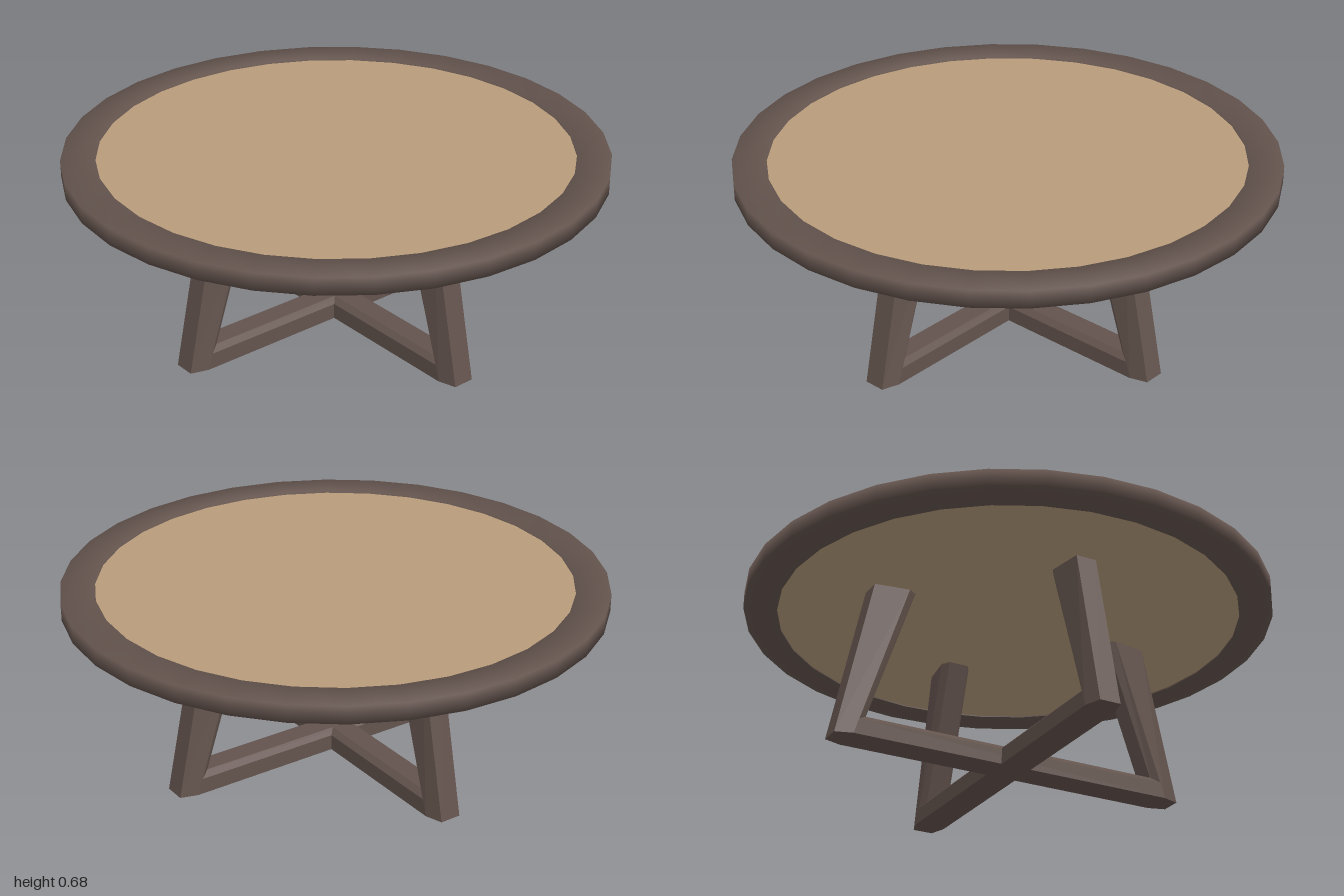
import * as THREE from 'three';

const darkWood = new THREE.MeshStandardMaterial({ color: 0x63534d });
darkWood.name = 'dark wood';
const lightWood = new THREE.MeshStandardMaterial({ color: 0xb79c7a });
lightWood.name = 'light wood';

const SIDES = 32;
const UNDERSIDE = 0.61;
const TOP = 0.675;
const RIM_INNER = 0.875;

// Flat-faced solid between two matching rings, counter-clockwise seen from the end ring
function loft(start, end) {
  const tris = [];
  const n = start.length;
  for (let i = 0; i < n; i++) {
    const j = (i + 1) % n;
    tris.push(start[i], start[j], end[j], start[i], end[j], end[i]);
  }
  for (let i = 1; i < n - 1; i++) {
    tris.push(end[0], end[i], end[i + 1], start[0], start[i + 1], start[i]);
  }
  const geometry = new THREE.BufferGeometry().setFromPoints(tris);
  geometry.computeVertexNormals();
  return geometry;
}

function part(name, geometry, material, parent) {
  const mesh = new THREE.Mesh(geometry, material);
  mesh.name = name;
  parent.add(mesh);
  return mesh;
}

// Six-sided leg section: narrow outer face, widest ridge, narrow inner face
function legRing(y, outer, ridge, inner) {
  return [
    [-0.04, outer], [0.04, outer], [0.06, ridge],
    [0.04, inner], [-0.04, inner], [-0.06, ridge],
  ].map(([x, z]) => new THREE.Vector3(x, y, z));
}

// Floor bar section with chamfered top edges; ends follow the lean of the leg
function barRing(side) {
  return [
    [-0.06, 0, 0.645], [0.06, 0, 0.645], [0.06, 0.06, 0.626],
    [0.04, 0.08, 0.6], [-0.04, 0.08, 0.6], [-0.06, 0.06, 0.626],
  ].map(([x, y, z]) => new THREE.Vector3(x, y, side * z));
}

export function createModel() {
  const model = new THREE.Group();
  model.name = 'roundTable';

  // Table top: softly shaded rim around a slightly recessed panel
  const top = new THREE.Group();
  top.name = 'tableTop';
  top.rotation.y = 0.021;
  model.add(top);

  const rimProfile = [
    [RIM_INNER, UNDERSIDE], [1, UNDERSIDE], [1, TOP],
    [RIM_INNER, TOP], [RIM_INNER, UNDERSIDE],
  ].map(([r, y]) => new THREE.Vector2(r, y));
  part('rim', new THREE.LatheGeometry(rimProfile, SIDES), darkWood, top);

  const panelBottom = UNDERSIDE + 0.005;
  const panelTop = TOP - 0.01;
  const panel = part('panel',
    new THREE.CylinderGeometry(RIM_INNER, RIM_INNER, panelTop - panelBottom, SIDES), lightWood, top);
  panel.position.y = (panelTop + panelBottom) / 2;

  // Base: four leaning legs joined by two crossing floor bars
  const base = new THREE.Group();
  base.name = 'base';
  model.add(base);

  const legGeometry = loft(
    legRing(0, 0.71, 0.645, 0.62),
    legRing(panelBottom + 0.003, 0.576, 0.443, 0.411));
  ['frontLeg', 'leftLeg', 'backLeg', 'rightLeg'].forEach((name, i) => {
    part(name, legGeometry, darkWood, base).rotation.y = i * Math.PI / 2;
  });

  const barGeometry = loft(barRing(-1), barRing(1));
  ['lengthwiseBar', 'crosswiseBar'].forEach((name, i) => {
    part(name, barGeometry, darkWood, base).rotation.y = i * Math.PI / 2;
  });

  return model;
}
